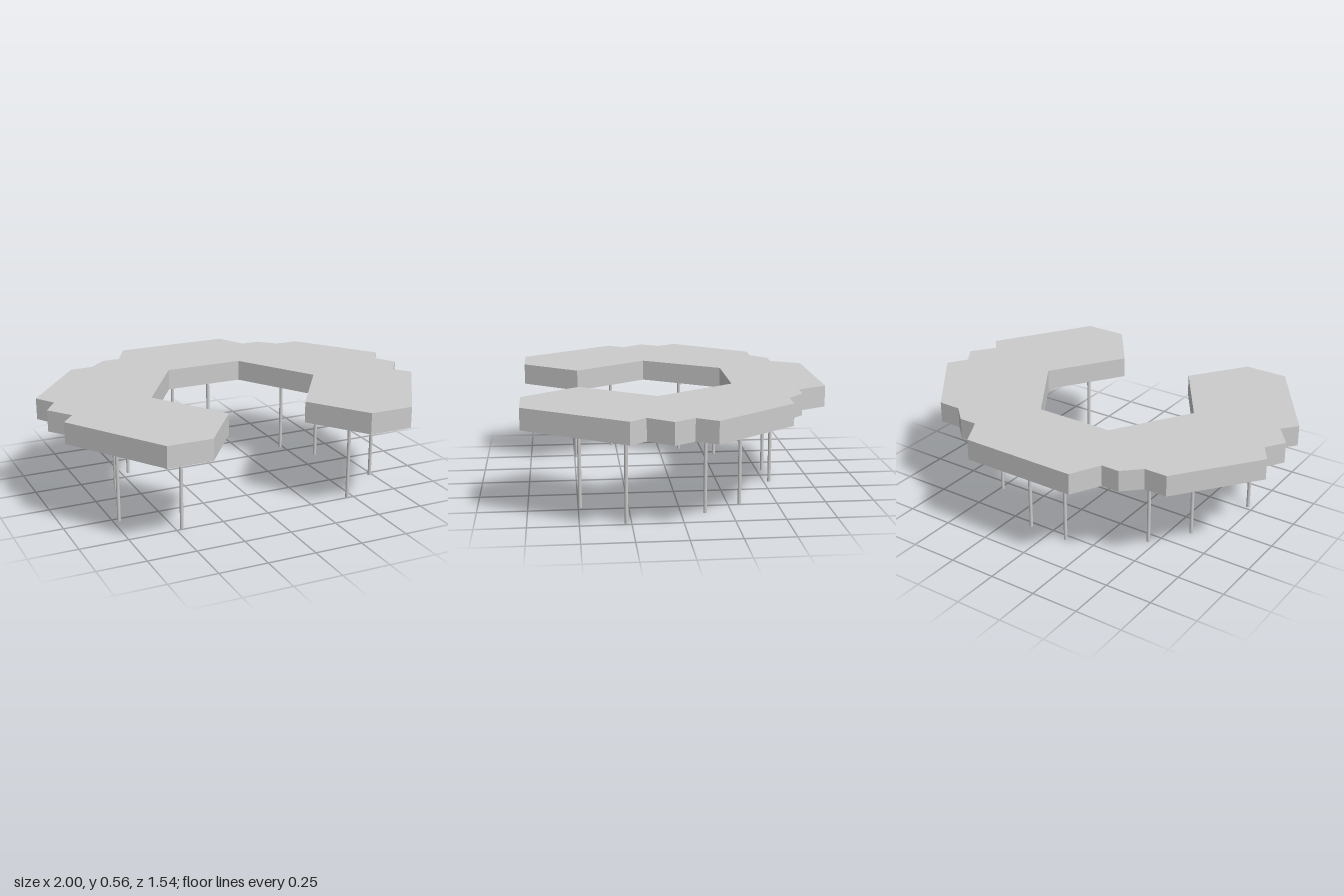
import * as THREE from 'three';

const LEG_TOP = 0.45, SLAB_TOP = 0.56, LEG_RADIUS = 0.009;

// Half of the tabletop outline (+x side) as [x, z], from the back edge round to the inner back edge
const HALF_OUTLINE = [
  [0.305, -0.775], [0.385, -0.62], [0.48, -0.62], [0.57, -0.535], [0.69, -0.535],
  [1, -0.13], [0.935, -0.03], [1, 0.07], [0.91, 0.19], [0.975, 0.27],
  [0.65, 0.77], [0.42, 0.77], [0.21, 0.48], [0.465, 0.1], [0.21, -0.305],
];

// Leg pairs: z, x on the left, x on the right
const LEG_PAIRS = [
  [0.49, 0.467, -0.47],
  [0.275, 0.735, -0.72],
  [-0.12, 0.61, -0.6],
  [-0.31, 0.485, -0.46],
  [-0.53, 0.12, -0.1],
];

export function createModel() {
  const model = new THREE.Group();
  model.name = 'horseshoeTable';
  const material = new THREE.MeshStandardMaterial({ color: 0xcccccc });

  // Horseshoe tabletop: mirrored outline, extruded upwards
  const mirrored = HALF_OUTLINE.map(([x, z]) => [-x, z]).reverse();
  const outline = [...HALF_OUTLINE, ...mirrored].map(([x, z]) => new THREE.Vector2(x, -z));
  const slab = new THREE.ExtrudeGeometry(new THREE.Shape(outline), {
    depth: SLAB_TOP - LEG_TOP,
    bevelEnabled: false,
  });
  slab.rotateX(-Math.PI / 2);
  const tabletop = new THREE.Mesh(slab, material);
  tabletop.name = 'tabletop';
  tabletop.position.y = LEG_TOP;
  model.add(tabletop);

  // Thin round legs
  const legGeometry = new THREE.CylinderGeometry(LEG_RADIUS, LEG_RADIUS, LEG_TOP, 12);
  const legs = new THREE.Group();
  legs.name = 'legs';
  LEG_PAIRS.forEach(([z, left, right], i) => {
    for (const [side, x] of [['left', left], ['right', right]]) {
      const leg = new THREE.Mesh(legGeometry, material);
      leg.name = `${side}Leg${i + 1}`;
      leg.position.set(x, LEG_TOP / 2, z);
      legs.add(leg);
    }
  });
  model.add(legs);

  return model;
}
